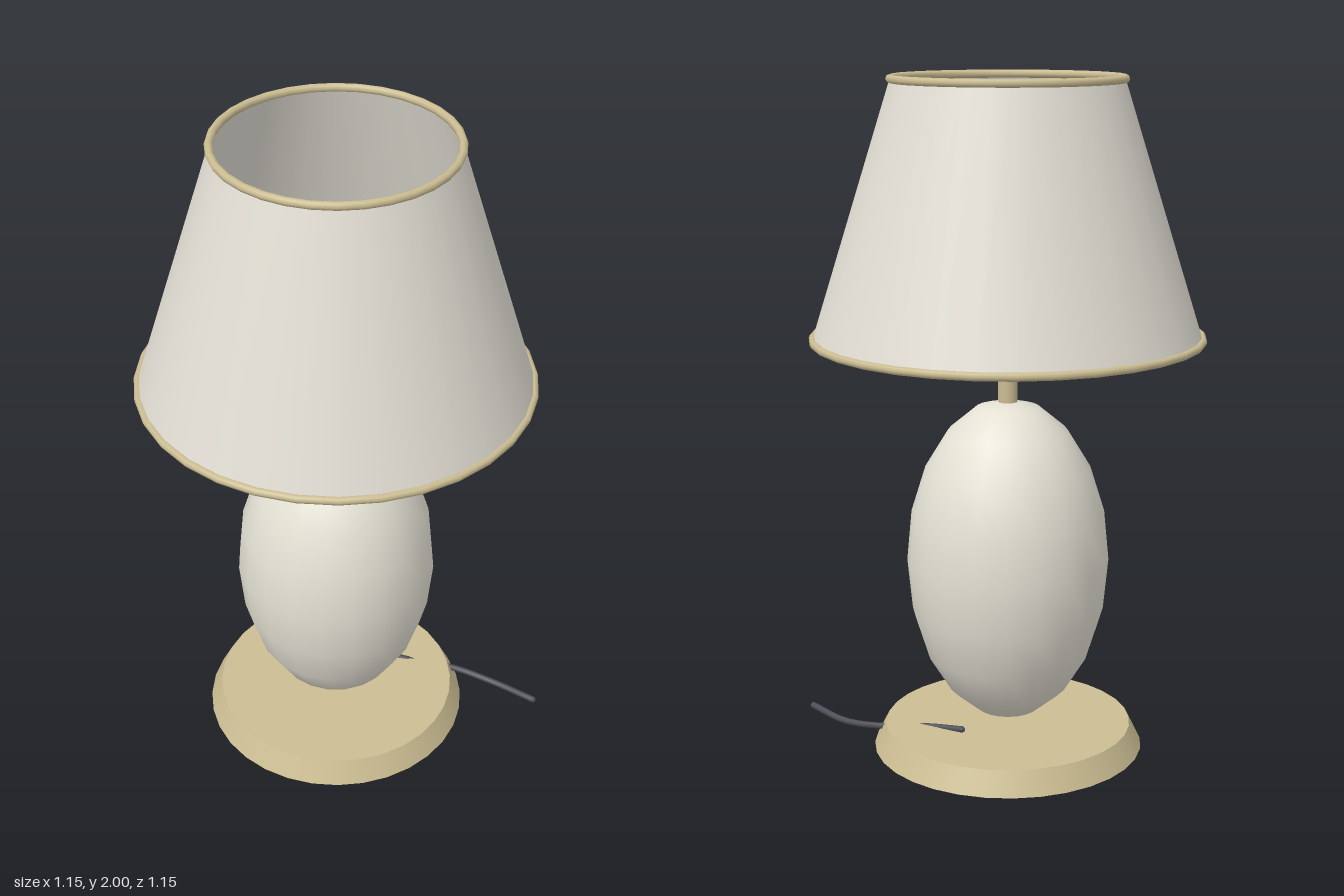
import * as THREE from 'three';

export function createModel() {
  const lamp = new THREE.Group();
  lamp.name = 'tableLamp';
  const mat = (name, color, side = THREE.FrontSide) => {
    const m = new THREE.MeshStandardMaterial({ color, side });
    m.name = name;
    return m;
  };
  const brass = mat('brass', 0xcbbd92);
  const ceramic = mat('ivory ceramic', 0xe4e1d4);
  const fabric = mat('shade fabric', 0xe2ded4, THREE.DoubleSide);
  const rubber = mat('dark cord', 0x4a4d54);

  const add = (name, geometry, material, y = 0) => {
    const mesh = new THREE.Mesh(geometry, material);
    mesh.name = name;
    mesh.position.y = y;
    lamp.add(mesh);
    return mesh;
  };
  // straight rod or bent cord along points
  const tube = (points, radius, segments, sides) => new THREE.TubeGeometry(
    new THREE.CatmullRomCurve3(points.map(p => new THREE.Vector3(...p))), segments, radius, sides);

  // tapered foot
  add('base', new THREE.CylinderGeometry(0.37, 0.405, 0.07, 32), brass, 0.035);

  // egg-shaped body
  const egg = new THREE.SphereGeometry(1, 20, 10).scale(0.3, 0.49, 0.3);
  add('body', egg, ceramic, 0.58);

  // stem and bulb
  add('stem', new THREE.CylinderGeometry(0.029, 0.029, 0.36, 16), brass, 1.22);
  add('bulb', new THREE.SphereGeometry(0.107, 20, 14), brass, 1.54);

  // open conical shade with rolled rims
  add('shade', new THREE.CylinderGeometry(0.33, 0.562, 0.733, 32, 1, true), fabric, 1.6215);
  for (const [name, r, y] of [['topRim', 0.33, 1.988], ['bottomRim', 0.562, 1.255]]) {
    add(name, new THREE.TorusGeometry(r, 0.012, 8, 32).rotateX(Math.PI / 2), brass, y);
  }

  // three spokes carrying the shade
  for (let i = 0; i < 3; i++) {
    const spoke = add('spoke', tube([[0, 1.24, 0], [0.56, 1.255, 0]], 0.008, 1, 8), brass);
    spoke.rotation.y = i * Math.PI * 2 / 3;
  }

  // power cord running through the foot, closed at its free ends
  const cordPath = [[0, 0.077, -0.17], [0.1, 0.064, -0.22], [0.22, 0.046, -0.31],
    [0.35, 0.031, -0.365], [0.505, 0.036, -0.392]];
  add('cord', tube(cordPath, 0.01, 20, 8), rubber);
  for (const p of [cordPath[0], cordPath[4]]) {
    add('cordEnd', new THREE.SphereGeometry(0.01, 8, 6), rubber).position.set(...p);
  }
  return lamp;
}
